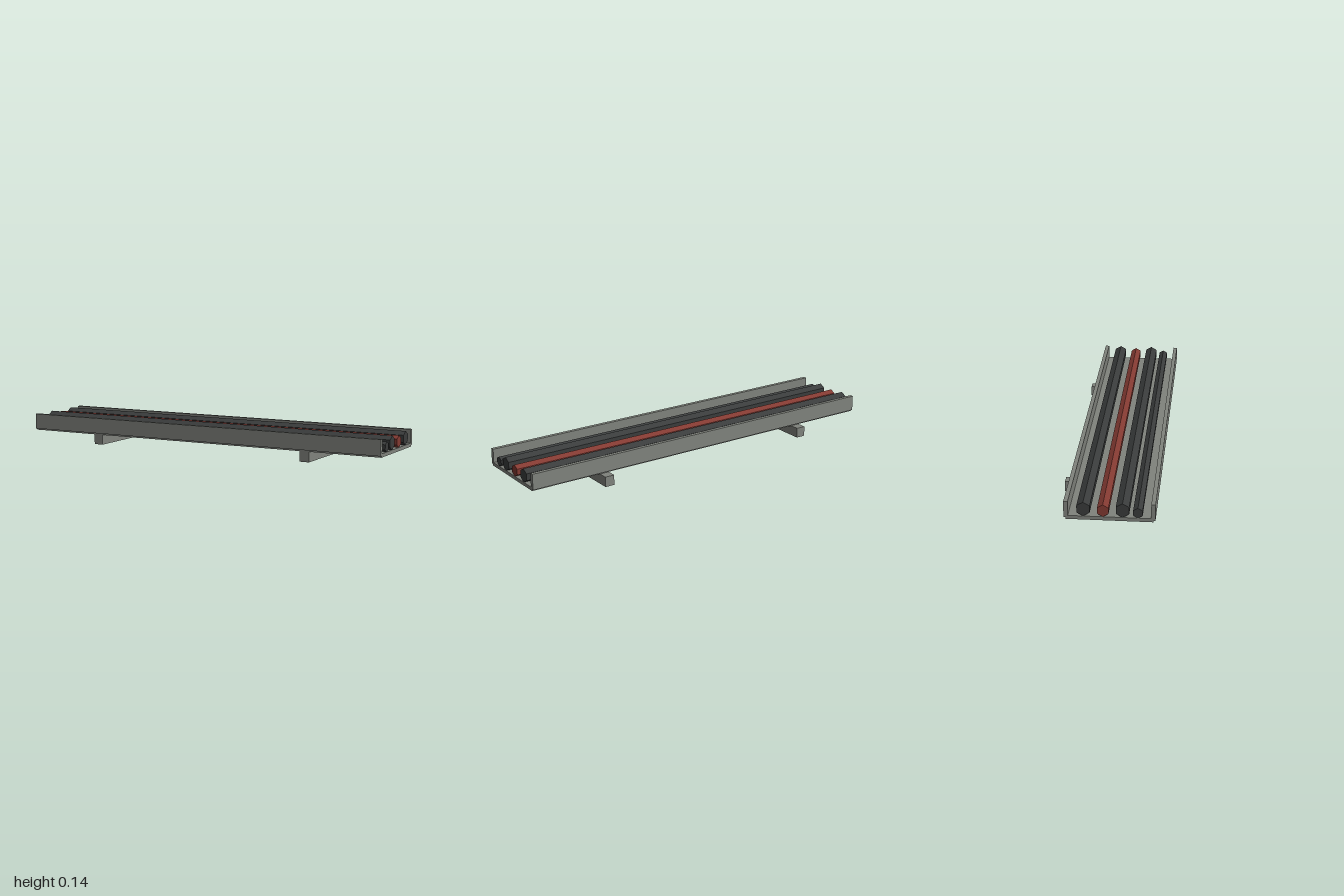
import * as THREE from 'three';

export function createModel() {
  const group = new THREE.Group();
  const mat = (name, color, flatShading = false) => {
    const m = new THREE.MeshStandardMaterial({ color, flatShading });
    m.name = name;
    return m;
  };
  const steel = mat('grey steel', 0x80837d);
  const dark = mat('dark pipe', 0x3a3c3c, true);
  const red = mat('red pipe', 0x833a32, true);

  const add = (name, geometry, material, x, y, z) => {
    const mesh = new THREE.Mesh(geometry, material);
    mesh.name = name;
    mesh.position.set(x, y, z);
    group.add(mesh);
  };
  // Box given by its y and z limits
  const slab = (name, x, width, y0, y1, z0, z1) =>
    add(name, new THREE.BoxGeometry(width, y1 - y0, z1 - z0), steel, x, (y0 + y1) / 2, (z0 + z1) / 2);

  // Tray: floor and two side walls
  slab('trayFloor', 0, 2, 0.052, 0.07, -0.18, 0.22);
  slab('frontWall', 0, 2, 0.06, 0.14, 0.21, 0.23);
  slab('backWall', 0, 2, 0.06, 0.14, -0.19, -0.17);

  // Support brackets reaching out behind the tray
  for (const x of [-0.6, 0.6]) slab('supportBracket', x, 0.05, 0, 0.052, -0.23, 0.22);

  // Hexagonal pipes resting on the floor: z, radius, material
  const pipes = [
    [0.15, 0.025, dark],
    [0.08, 0.035, dark],
    [-0.01, 0.03, red],
    [-0.1, 0.035, dark],
  ];
  for (const [z, r, material] of pipes) {
    const geometry = new THREE.CylinderGeometry(r, r, 2, 6, 1, false, Math.PI / 2);
    geometry.rotateZ(Math.PI / 2);
    add('pipe', geometry, material, 0, 0.07 + r, z);
  }
  return group;
}
